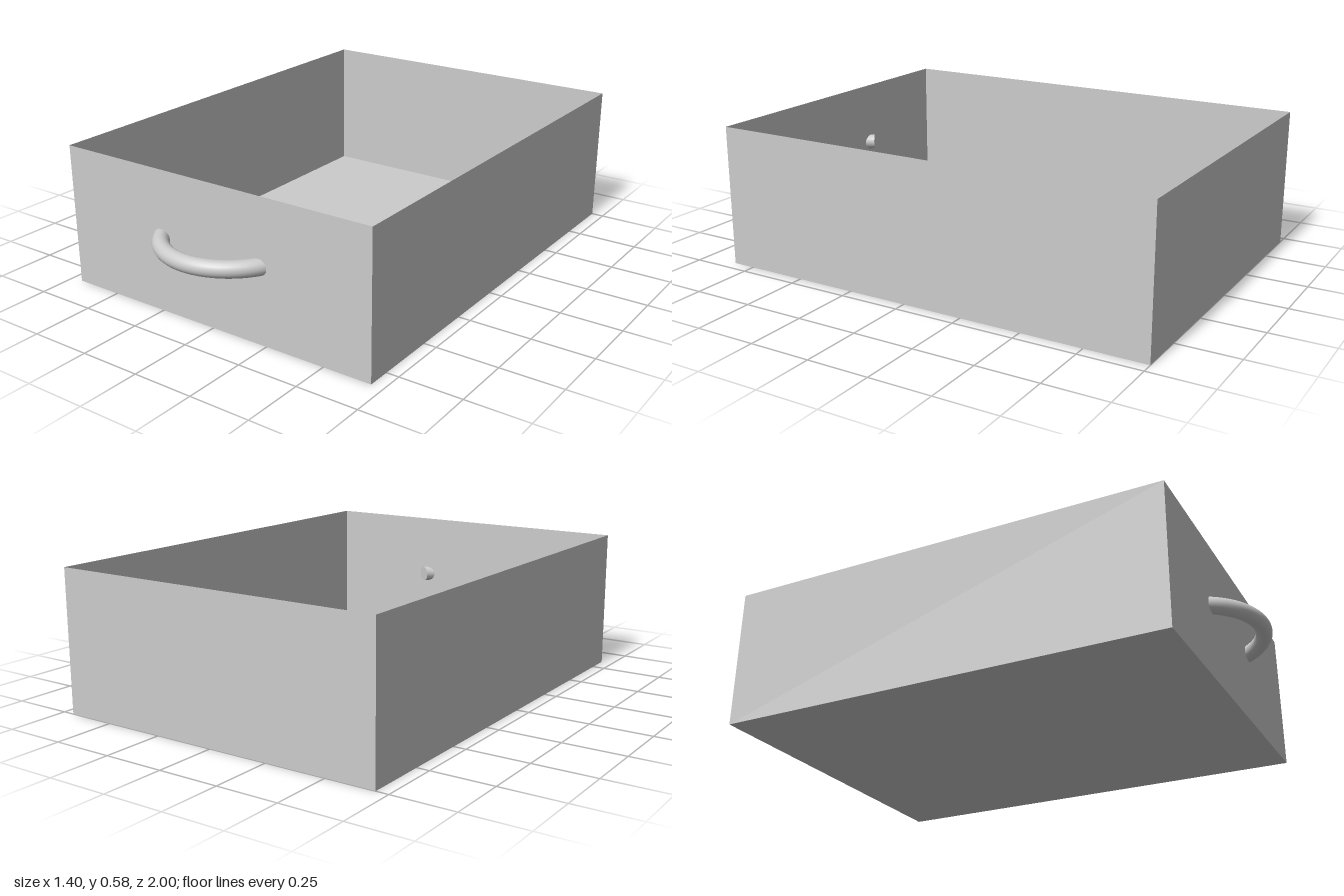
import * as THREE from 'three';

export function createModel() {
  const group = new THREE.Group();
  const sheet = new THREE.MeshStandardMaterial({ color: 0xcccccc, side: THREE.DoubleSide });
  const solid = new THREE.MeshStandardMaterial({ color: 0xcccccc });

  // Thin-walled tray: a box without its top face
  const width = 1.4, height = 0.577, back = -1, front = 0.845;
  const tray = new THREE.BoxGeometry(width, height, front - back);
  const index = Array.from(tray.index.array);
  index.splice(12, 6); // the +y face
  tray.setIndex(index);
  tray.clearGroups();
  tray.translate(0, height / 2, (front + back) / 2);
  const box = new THREE.Mesh(tray, sheet);
  box.name = 'drawerBox';
  group.add(box);

  // Bowed pull handle whose ends just pass through the front panel
  const handle = new THREE.Group();
  handle.name = 'handle';
  const R = 0.275, r = 0.033, half = Math.PI / 3;
  const arc = new THREE.TorusGeometry(R, r, 20, 40, half * 2);
  arc.rotateZ(Math.PI / 2 - half);
  arc.rotateX(Math.PI / 2);
  const bar = new THREE.Mesh(arc, solid);
  bar.name = 'handleBar';
  handle.add(bar);

  // Flat end caps facing along the arc
  for (const side of [1, -1]) {
    const cap = new THREE.Mesh(new THREE.CircleGeometry(r, 20), solid);
    cap.name = side > 0 ? 'handleCapLeft' : 'handleCapRight';
    cap.position.set(side * R * Math.sin(half), 0, R * Math.cos(half));
    cap.rotation.y = Math.atan2(side * Math.cos(half), -Math.sin(half));
    handle.add(cap);
  }
  handle.position.set(-0.008, 0.307, 1 - R - r);
  group.add(handle);

  return group;
}
